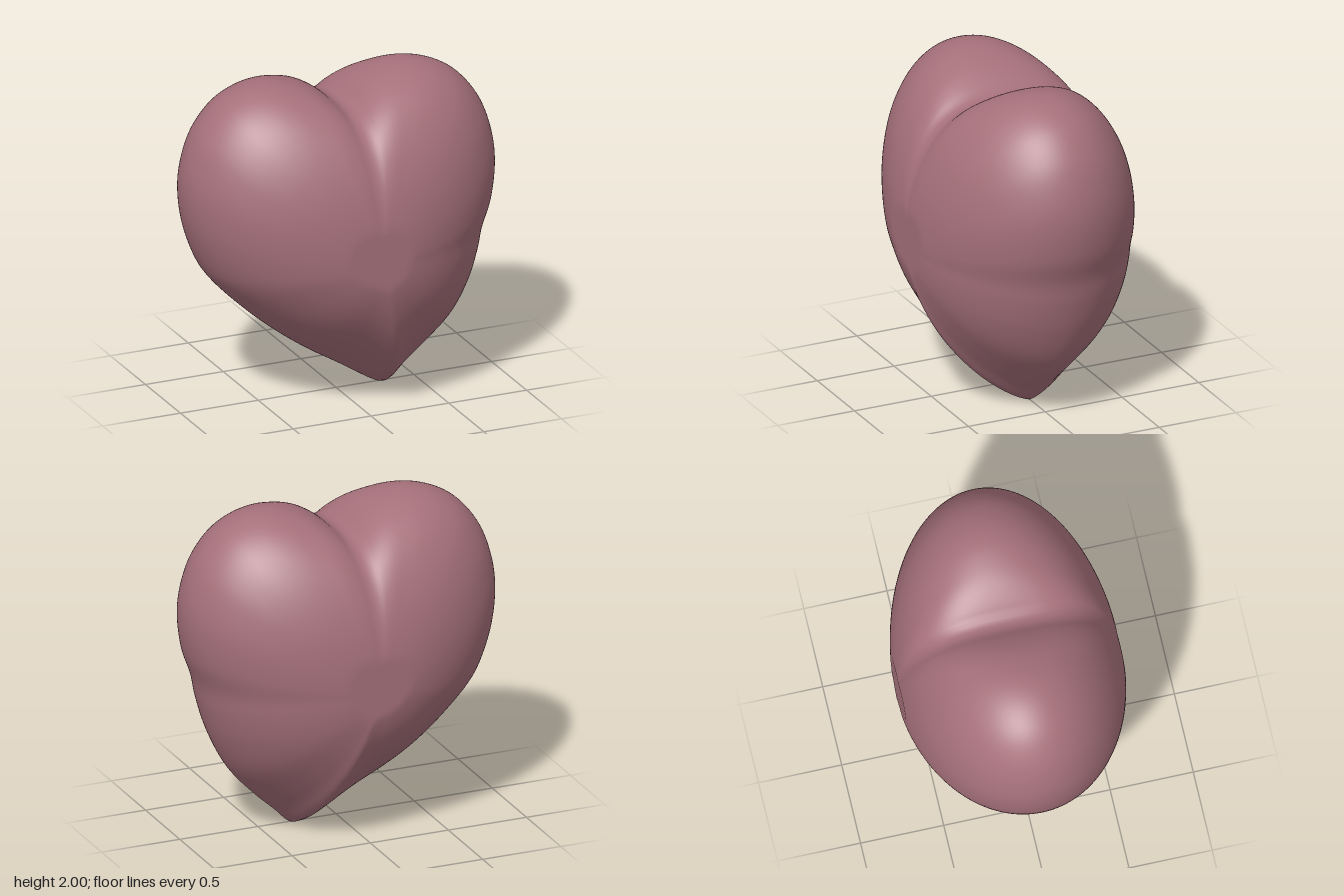
import * as THREE from 'three';

// Right lobe from the notch to the widest point; mirrored for the left lobe.
const LOBE = [[0.05, 1.845], [0.1, 1.885], [0.2, 1.945], [0.3, 1.98], [0.45, 2], [0.6, 1.975],
  [0.75, 1.895], [0.88, 1.74], [0.95, 1.56], [0.975, 1.38], [0.95, 1.15]];
// Lower edge from the right side, round the off-centre tip, to the left side.
const LOWER = [[0.89, 0.97], [0.86, 0.82], [0.8, 0.62], [0.69, 0.4], [0.51, 0.2], [0.39, 0.09], [0.31, 0.01],
  [0.28, 0], [0.24, 0.015], [0, 0.165], [-0.2, 0.29], [-0.4, 0.435], [-0.6, 0.605], [-0.8, 0.81], [-0.87, 0.92]];
const MID_Y = 1, SEGMENTS = 200, RINGS = 90;

function outline() {
  const left = LOBE.map(([x, y]) => [-x, y]).reverse();
  const points = [[0, 1.83], ...LOBE, ...LOWER, ...left].map(([x, y]) => new THREE.Vector3(x, y, 0));
  return new THREE.CatmullRomCurve3(points, true).getSpacedPoints(SEGMENTS).slice(0, SEGMENTS);
}

const bump = (angle, width) => Math.exp(-((angle / width) ** 2));

// Shrinking rings of the outline, inflated from the front pole to the back pole.
function heartGeometry() {
  const edge = outline(), positions = [], index = [];
  const tipAngle = Math.atan2(0.28, -1);
  for (let i = 0; i <= RINGS; i++) {
    const phi = (i / RINGS) * Math.PI;
    const s = Math.sin(phi), side = Math.sign(Math.cos(phi));
    for (const p of edge) {
      const dx = p.x, dy = p.y - MID_Y, angle = Math.atan2(dx, dy);
      // the notch between the lobes fades out towards the belly
      const fill = 1 + 0.18 * bump(angle, 0.3) * (1 - s ** 4);
      // the depth tapers faster towards the tip
      const fromTip = Math.atan2(Math.sin(angle - tipAngle), Math.cos(angle - tipAngle));
      const power = 0.5 + 0.25 * bump(fromTip, 0.6);
      const depth = Math.min(0.66, 0.675 * Math.max(0, 1 - s * s) ** power);
      const z = i * 2 === RINGS ? 0 : side * depth;
      positions.push(dx * s * fill, MID_Y + dy * s * fill, z);
    }
  }
  for (let i = 0; i < RINGS; i++) {
    for (let j = 0; j < SEGMENTS; j++) {
      const k = (j + 1) % SEGMENTS;
      const a = i * SEGMENTS + j, d = i * SEGMENTS + k;
      const b = a + SEGMENTS, c = d + SEGMENTS;
      if (i > 0) index.push(a, d, b);
      if (i < RINGS - 1) index.push(b, d, c);
      if (i === 0) continue;
    }
  }
  const geometry = new THREE.BufferGeometry();
  geometry.setAttribute('position', new THREE.Float32BufferAttribute(positions, 3));
  geometry.setIndex(index);
  geometry.computeVertexNormals();
  return geometry;
}

export function createModel() {
  const group = new THREE.Group();
  const heart = new THREE.Mesh(heartGeometry(), new THREE.MeshStandardMaterial({ color: 0xa5707a }));
  heart.name = 'heart';
  group.add(heart);
  return group;
}
